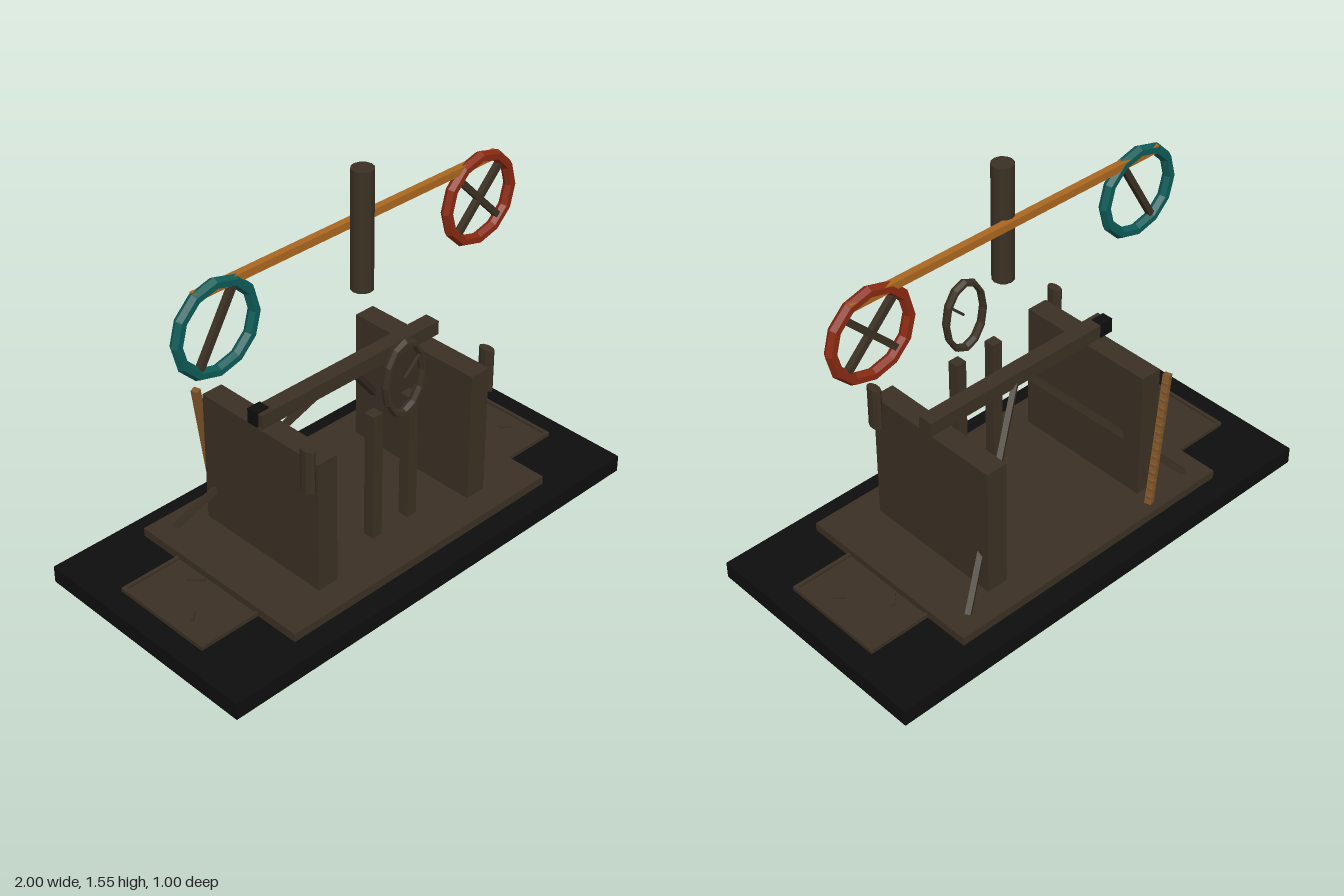
import * as THREE from 'three';

const mat = (name, color) => {
  const m = new THREE.MeshStandardMaterial({ color, flatShading: true });
  m.name = name;
  return m;
};

export function createModel() {
  const root = new THREE.Group();
  root.name = 'balanceMachine';
  const black = mat('black', 0x0e0e0e);
  const brown = mat('darkWood', 0x3b3024);
  const orange = mat('orangeWood', 0xac6820);
  const tan = mat('tanWood', 0x80562a);
  const teal = mat('teal', 0x0f5c58);
  const red = mat('red', 0x8a2a12);

  const add = (name, geo, m, x = 0, y = 0, z = 0) => {
    const mesh = new THREE.Mesh(geo, m);
    mesh.name = name;
    mesh.position.set(x, y, z);
    root.add(mesh);
    return mesh;
  };
  // box given by its minimum and maximum on each axis
  const box = (name, m, x0, x1, y0, y1, z0, z1) =>
    add(name, new THREE.BoxGeometry(x1 - x0, y1 - y0, z1 - z0), m,
      (x0 + x1) / 2, (y0 + y1) / 2, (z0 + z1) / 2);
  // rectangular bar running between two points
  const bar = (name, m, a, b, w, d) => {
    const p = new THREE.Vector3(...a), q = new THREE.Vector3(...b);
    const mesh = add(name, new THREE.BoxGeometry(w, d, p.distanceTo(q)), m);
    mesh.position.copy(p).add(q).multiplyScalar(0.5);
    mesh.lookAt(q);
    return mesh;
  };

  // base and stepped platform
  box('base', black, -1, 1, 0, 0.07, -0.5, 0.5);
  box('platform', brown, -0.65, 0.65, 0.07, 0.105, -0.41, 0.41);

  for (const s of [-1, 1]) {
    // side trays with raised rims
    const span = (a, b) => (s > 0 ? [a, b] : [-b, -a]);
    box('tray', brown, ...span(0.64, 0.91), 0.07, 0.077, -0.22, 0.22);
    box('trayOuterRim', brown, ...span(0.895, 0.91), 0.077, 0.086, -0.22, 0.22);
    for (const t of [-1, 1])
      box('traySideRim', brown, ...span(0.64, 0.895), 0.077, 0.086, t * 0.2125 - 0.0075, t * 0.2125 + 0.0075);
    bar('loosePeg', brown, [s * 0.66, 0.081, -0.05], [s * 0.71, 0.081, -0.1], 0.012, 0.01);
    bar('loosePeg', brown, [s * 0.8, 0.081, 0.05], [s * 0.84, 0.081, 0.085], 0.012, 0.01);

    // upright walls and the pegs on their outer faces
    box('wall', brown, ...span(0.34, 0.43), 0.105, 0.655, -0.3, 0.3);
    const peg = add('sidePeg', new THREE.CylinderGeometry(0.019, 0.019, 0.175, 10), brown, s * 0.449, 0.632, 0.27);
    peg.scale.z = 1.8;

    // hanging posts and rear braces
    box('post', brown, ...span(0.067, 0.113), 0.135, 0.672, 0.205, 0.25);
    bar('brace', brown, [s * 0.56, 0.105, -0.335], [s * 0.025, 0.69, -0.015], 0.022, 0.022);
  }

  // cross beam with a dark end block
  box('beam', brown, -0.44, 0.445, 0.672, 0.73, -0.032, 0.032);
  box('beamEndBlock', black, -0.448, -0.39, 0.675, 0.735, -0.036, 0.012);

  // notched stick leaning on the back of a wall
  bar('leaningStick', tan, [-0.335, 0.105, -0.365], [-0.43, 0.655, -0.338], 0.028, 0.024);
  for (let i = 1; i < 16; i++) {
    const t = i / 16;
    box('stickNotch', tan, -0.339 - 0.095 * t, -0.331 - 0.095 * t + 0.014,
      0.1 + 0.55 * t, 0.112 + 0.55 * t, -0.382 + 0.027 * t, -0.36 + 0.027 * t);
  }

  // oval dial and its hand
  const dial = add('dialRing', new THREE.TorusGeometry(0.145, 0.016, 6, 12), brown, 0, 0.805, 0.283);
  dial.scale.set(0.63, 1.0, 1.2);
  bar('dialHand', brown, [0, 0.805, 0.29], [0.072, 0.875, 0.29], 0.01, 0.01);

  // floating balance: central column, arm and two spoked wheels
  add('column', new THREE.CylinderGeometry(0.043, 0.043, 0.47, 12), brown, 0, 1.315, 0.075);
  box('arm', orange, -0.72, 0.72, 1.315, 1.345, 0.018, 0.046);
  for (const [s, m] of [[-1, teal], [1, red]]) {
    add('wheelRim', new THREE.TorusGeometry(0.168, 0.023, 6, 12), m, s * 0.633, 1.18, 0.037);
    for (const a of s < 0 ? [1.04] : [0.8, -0.8]) {
      const dx = Math.cos(a) * 0.158, dy = Math.sin(a) * 0.158;
      const cx = s * 0.633;
      const spoke = box('spoke', brown, -0.158, 0.158, -0.012, 0.012, -0.012, 0.012);
      spoke.position.set(cx, 1.18, 0.037);
      spoke.rotation.z = Math.atan2(dy, dx);
    }
  }
  return root;
}
